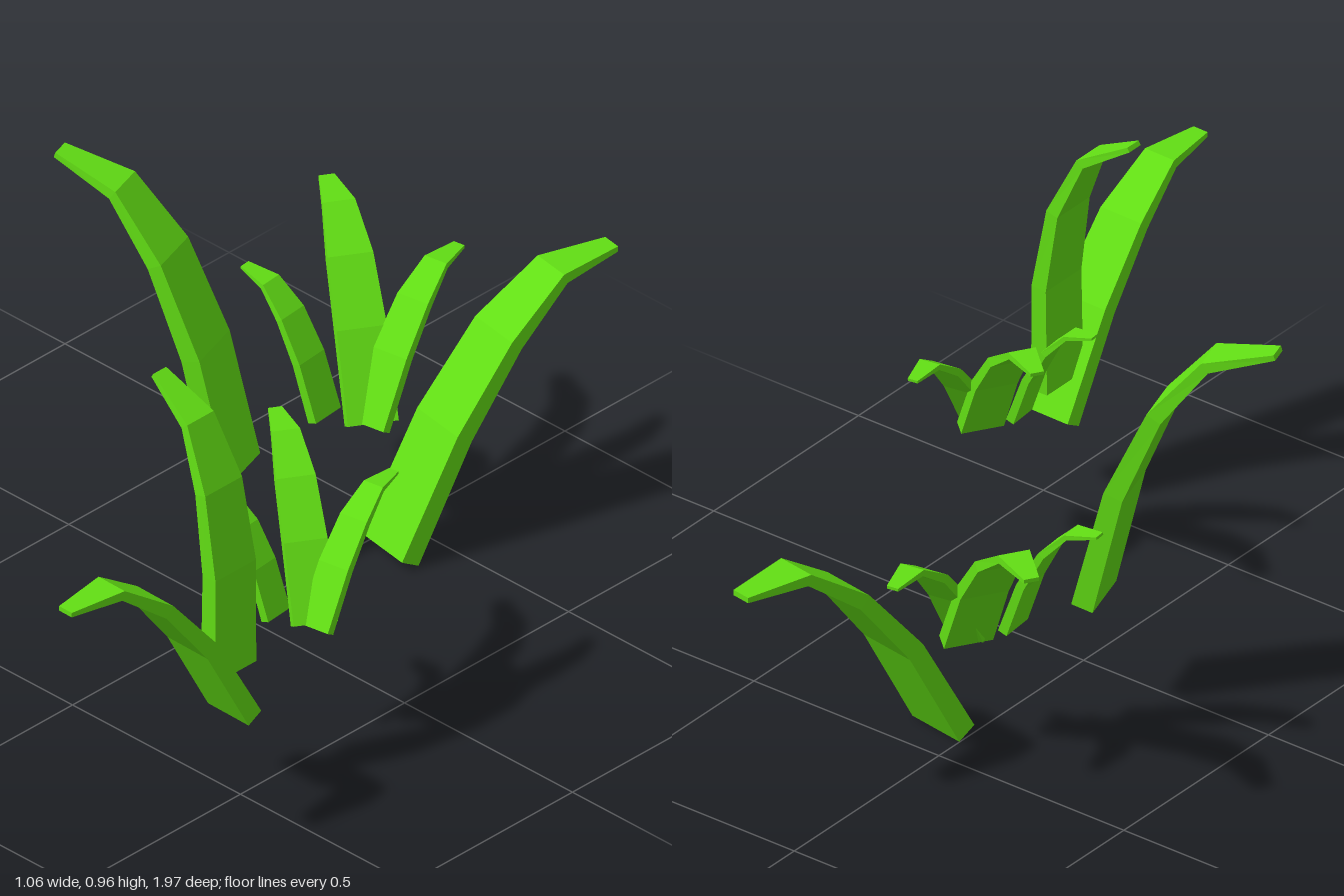
import * as THREE from 'three';

// Blade stations from root to tip: outward reach, height, width, thickness
const STATIONS = [
  [0, 0, 0.147, 0.05],
  [0.07, 0.29, 0.145, 0.045],
  [0.16, 0.50, 0.132, 0.036],
  [0.27, 0.64, 0.095, 0.026],
  [0.42, 0.685, 0.046, 0.013],
];

// Bend and taper a segmented box along the stations (leans towards +z)
function bladeGeometry() {
  const last = STATIONS.length - 1;
  const geo = new THREE.BoxGeometry(1, 1, 1, 1, last, 1);
  const pos = geo.attributes.position;
  for (let i = 0; i < pos.count; i++) {
    const k = Math.round((pos.getY(i) + 0.5) * last);
    const [d, h, w, t] = STATIONS[k];
    const a = STATIONS[Math.max(k - 1, 0)];
    const b = STATIONS[Math.min(k + 1, last)];
    const lean = Math.atan2(b[0] - a[0], b[1] - a[1]);
    const off = pos.getZ(i) * t;
    pos.setXYZ(i, pos.getX(i) * w, h - off * Math.sin(lean), d + off * Math.cos(lean));
  }
  geo.computeVertexNormals();
  return geo;
}

// Each blade: name, root position, heading (x, z), tilt in degrees, size, width factor
const BLADES = [
  ['tallBackBlade', [0.07, 0.018, -0.395], [0.097, -0.6], 15.5, 1, 1],
  ['tallRightBlade', [-0.115, 0.27, -0.112], [-0.42, 0.13], 0, 1, 0.97],
  ['tallLeftBlade', [0.455, 0.30, 0.49], [-1, 0], -14, 0.86, 0.85],
  ['tallFrontBlade', [0.47, 0.208, 0.487], [-0.01, 0.505], 15.5, 0.86, 0.84],
  // Back tuft of short blades
  ['backTuftLongBlade', [-0.023, 0.277, -0.435], [-0.345, -0.215], 16, 0.685, 0.76],
  ['backTuftThinBlade', [-0.015, 0.28, -0.42], [-0.055, -0.335], 18, 0.545, 0.6],
  ['backTuftShortBlade', [-0.092, 0.3, -0.362], [-0.22, 0.02], 5.5, 0.455, 0.57],
  // Front tuft of short blades
  ['frontTuftLongBlade', [0.468, 0.305, 0.242], [-0.345, -0.215], 16, 0.596, 0.66],
  ['frontTuftThinBlade', [0.485, 0.305, 0.255], [-0.055, -0.335], 18, 0.474, 0.52],
  ['frontTuftShortBlade', [0.407, 0.325, 0.297], [-0.22, 0.02], 5.5, 0.396, 0.5],
];

export function createModel() {
  const group = new THREE.Group();
  group.name = 'grassPatch';
  const material = new THREE.MeshStandardMaterial({ color: 0x62de14, flatShading: true });
  const geometry = bladeGeometry();
  for (const [name, root, [hx, hz], tilt, size, width] of BLADES) {
    const blade = new THREE.Mesh(geometry, material);
    blade.name = name;
    blade.position.set(...root);
    blade.rotation.set(THREE.MathUtils.degToRad(tilt), Math.atan2(hx, hz), 0, 'YXZ');
    blade.scale.set(width, size, size);
    group.add(blade);
  }
  return group;
}
